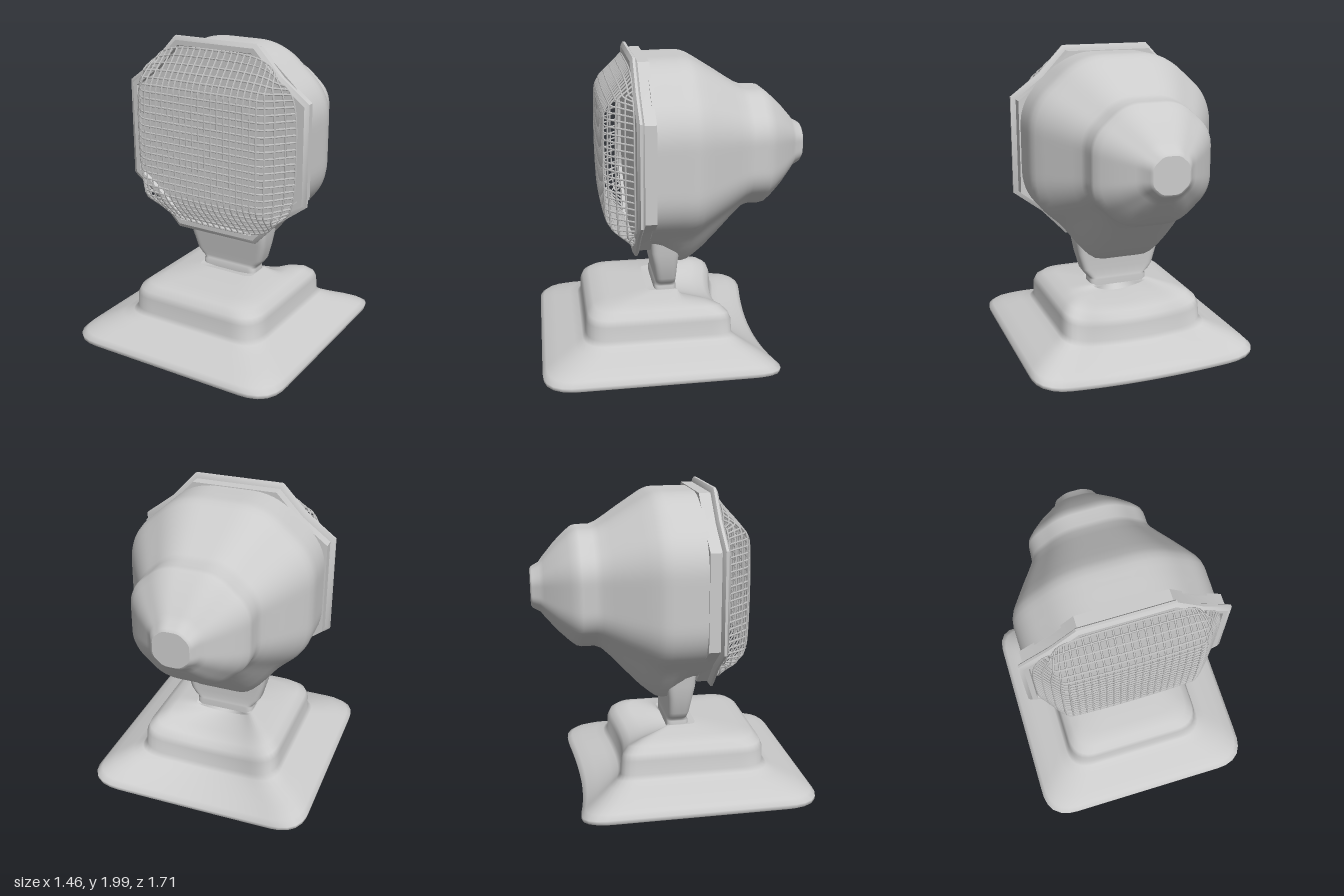
import * as THREE from 'three';
import { toCreasedNormals } from 'three/addons/utils/BufferGeometryUtils.js';

const CENTRE_Y = 1.38;
const OCTAGON = [[1, -0.5], [1, 0.5], [0.45, 1], [-0.45, 1], [-1, 0.5], [-1, -0.5], [-0.45, -1], [0.45, -1]];
const smooth = THREE.MathUtils.smoothstep;

// Closed 2D loop with rounded corners, evenly resampled
function roundedLoop(corners, radius, count) {
  const p = corners.map(([x, y]) => new THREE.Vector2(x, y));
  const path = new THREE.Path();
  const toward = (a, b) => b.clone().sub(a).setLength(radius).add(a);
  p.forEach((c, i) => {
    const a = toward(c, p[(i + p.length - 1) % p.length]);
    const b = toward(c, p[(i + 1) % p.length]);
    if (i === 0) path.moveTo(a.x, a.y); else path.lineTo(a.x, a.y);
    path.quadraticCurveTo(c.x, c.y, b.x, b.y);
  });
  path.closePath();
  return path.getSpacedPoints(count).slice(0, count);
}

// Skin a list of equal-length rings and cap both ends
function loft(rings) {
  const n = rings[0].length, pos = [], index = [];
  rings.forEach(r => r.forEach(v => pos.push(v.x, v.y, v.z)));
  for (let i = 0; i < rings.length - 1; i++) {
    for (let j = 0; j < n; j++) {
      const a = i * n + j, b = i * n + (j + 1) % n;
      index.push(a, b, a + n, b, b + n, a + n);
    }
  }
  const cap = (ring, flip) => {
    const start = pos.length / 3, mid = new THREE.Vector3();
    ring.forEach(v => { pos.push(v.x, v.y, v.z); mid.addScaledVector(v, 1 / n); });
    pos.push(mid.x, mid.y, mid.z);
    for (let j = 0; j < n; j++) {
      const a = start + j, b = start + (j + 1) % n;
      index.push(start + n, flip ? b : a, flip ? a : b);
    }
  };
  cap(rings[0], true);
  cap(rings[rings.length - 1], false);
  const geo = new THREE.BufferGeometry();
  geo.setAttribute('position', new THREE.Float32BufferAttribute(pos, 3));
  geo.setIndex(index);
  geo.computeVertexNormals();
  return geo;
}

// Horizontal rounded rectangle at height y; sag pulls the middle of its back edge down and forward
function rectRing(y, hx, back, front, radius, sag = 0) {
  const loop = roundedLoop([[hx, -front], [hx, -back], [-hx, -back], [-hx, -front]], radius, 96);
  return loop.map(p => {
    const z = -p.y;
    const k = sag * Math.max(0, 1 - (p.x / hx) ** 2) * Math.max(0, z / back) * (back < 0 && z < 0 ? 1 : 0);
    return new THREE.Vector3(p.x, y - k, z + k);
  });
}

export function createModel() {
  const group = new THREE.Group();
  const grey = new THREE.MeshStandardMaterial({ color: 0xcccccc });
  const add = (name, geo, parent = group) => {
    const mesh = new THREE.Mesh(geo, grey);
    mesh.name = name;
    parent.add(mesh);
    return mesh;
  };

  // Flared base with a raised step: height, half width, back, front, corner radius
  const baseRings = [
    [0.085, 0.715, -0.645, 0.835, 0.2], [0.095, 0.727, -0.657, 0.848, 0.2],
    [0.12, 0.73, -0.66, 0.85, 0.2], [0.145, 0.705, -0.63, 0.825, 0.2],
    [0.18, 0.64, -0.56, 0.75, 0.18], [0.22, 0.54, -0.47, 0.64, 0.17],
    [0.245, 0.485, -0.42, 0.59, 0.16], [0.27, 0.462, -0.395, 0.567, 0.16],
    [0.36, 0.46, -0.39, 0.565, 0.16], [0.4, 0.445, -0.375, 0.55, 0.16],
    [0.435, 0.4, -0.335, 0.51, 0.15], [0.455, 0.33, -0.25, 0.42, 0.12],
    [0.475, 0.2, -0.06, 0.16, 0.05],
  ];
  add('base', loft(baseRings.map(r => rectRing(...r, 0.08))));

  // Neck rising from a small collar to the lamp housing
  const neckRings = [
    [0.46, 0.195, -0.03, 0.11], [0.5, 0.195, -0.03, 0.11], [0.51, 0.19, -0.028, 0.1],
    [0.53, 0.215, -0.025, 0.1], [0.57, 0.243, -0.025, 0.108], [0.68, 0.272, -0.03, 0.125],
    [0.76, 0.285, -0.04, 0.14], [0.9, 0.3, -0.05, 0.145],
  ];
  add('neck', loft(neckRings.map(r => rectRing(...r, 0.04))));

  // Octagonal housing: z, radius, and how far the underside swells down behind the neck
  const housingRings = [
    [-0.855, 0.11, 0], [-0.845, 0.125, 0], [-0.8, 0.148, 0], [-0.775, 0.18, 0], [-0.7, 0.265, 0],
    [-0.63, 0.33, 0], [-0.59, 0.36, 0], [-0.56, 0.367, 0], [-0.48, 0.367, 0], [-0.44, 0.382, 0],
    [-0.38, 0.418, 0.02], [-0.3, 0.47, 0.055], [-0.2, 0.532, 0.1], [-0.14, 0.568, 0.115],
    [-0.1, 0.583, 0.13], [-0.06, 0.588, 0.137], [-0.02, 0.587, 0.135], [0.02, 0.587, 0.09],
    [0.07, 0.586, 0.03], [0.12, 0.585, 0], [0.16, 0.585, 0],
  ];
  const unitLoop = roundedLoop(OCTAGON, 0.26, 96);
  add('housing', loft(housingRings.map(([z, r, swell]) => unitLoop.map(p => {
    const drop = p.y < 0 ? swell * (1 - smooth(Math.abs(p.x * r), 0.14, 0.42)) * smooth(-p.y, 0.4, 0.95) : 0;
    return new THREE.Vector3(p.x * r * 1.01, CENTRE_Y + p.y * r - drop, z);
  }))));

  // Bezel: crisp octagon whose diagonals pinch in slightly, closed by the lens plate
  const bezelLoop = [];
  OCTAGON.forEach((c, i) => {
    bezelLoop.push(c);
    const d = OCTAGON[(i + 1) % 8];
    if (i % 2) bezelLoop.push([(c[0] + d[0]) * 0.485, (c[1] + d[1]) * 0.485]);
  });
  const bezelRings = [
    [0.145, 0.6], [0.215, 0.6], [0.22, 0.615], [0.23, 0.63], [0.245, 0.63],
    [0.26, 0.605], [0.26, 0.575], [0.24, 0.568],
  ];
  add('bezel', toCreasedNormals(loft(bezelRings.map(([z, r]) =>
    bezelLoop.map(([x, y]) => new THREE.Vector3(x * r, CENTRE_Y + y * (r - 0.01), z)))), 0.5));

  // Wire guard: a square grid pinched into an octagon and bulged forward
  const guard = new THREE.Group();
  guard.name = 'wireGuard';
  group.add(guard);
  const guardPoint = (u, v) => {
    const pinch = 1 - 0.26 * Math.abs(u * v) ** 3.5;
    const fall = Math.max(smooth(Math.abs(u), 0.68, 1.12), smooth(Math.abs(v), 0.55, 1.15)) / 0.94;
    const corner = 0.05 * (u * v) ** 2 * (1 - Math.min(1, fall));
    return new THREE.Vector3(0.565 * u * pinch, CENTRE_Y + 0.56 * v * pinch,
      0.435 - 0.19 * Math.min(1, fall) - corner);
  };
  const LINES = 27, STEPS = 30;
  for (let i = 0; i < LINES; i++) {
    const t = -1 + 2 * i / (LINES - 1);
    for (const upright of [true, false]) {
      const pts = [];
      for (let k = 0; k <= STEPS; k++) {
        const s = -1 + 2 * k / STEPS;
        pts.push(upright ? guardPoint(t, s) : guardPoint(s, t));
      }
      const curve = new THREE.CatmullRomCurve3(pts);
      add(upright ? 'uprightWire' : 'crossWire', new THREE.TubeGeometry(curve, 36, 0.006, 4), guard);
    }
  }

  return group;
}
